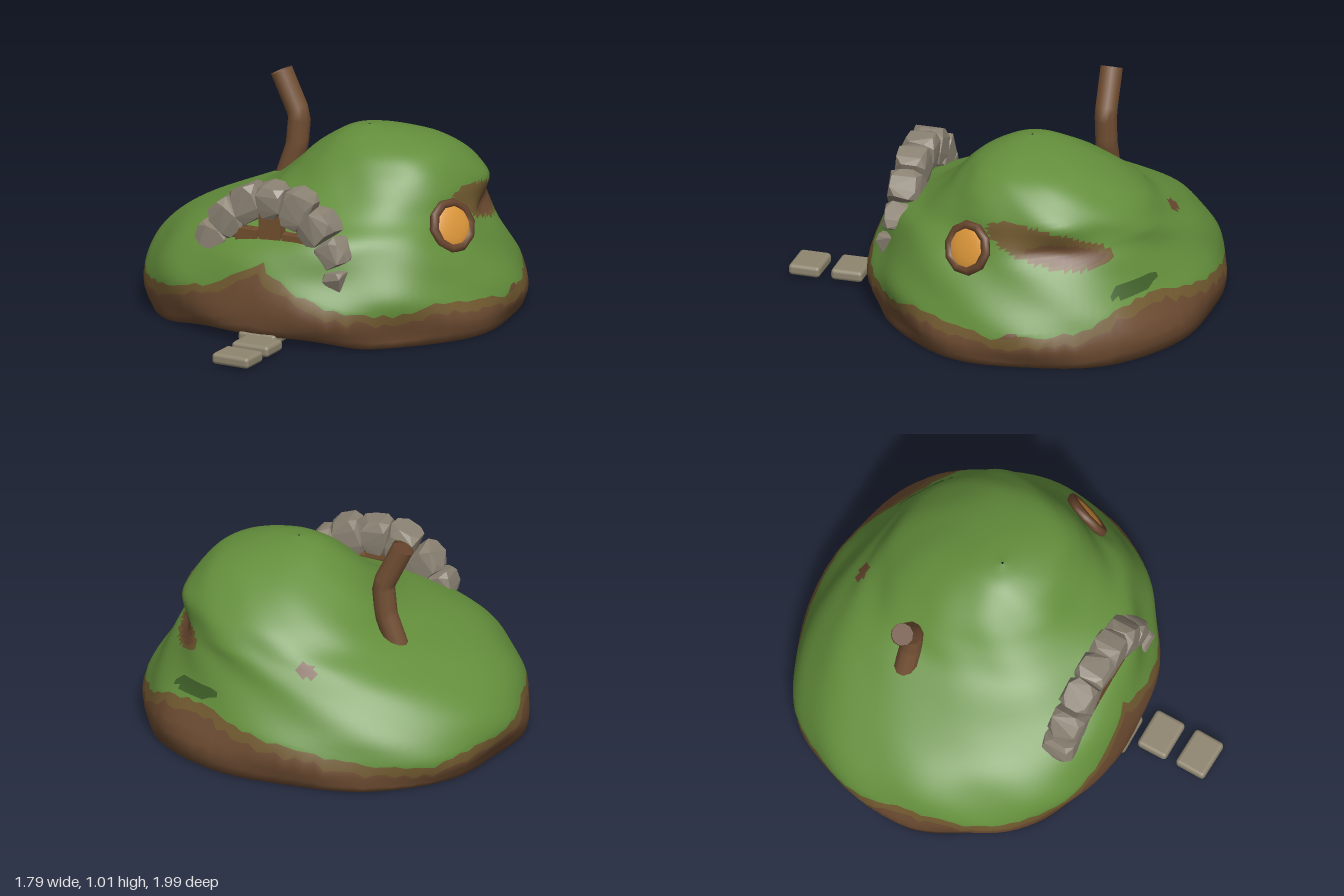
import * as THREE from 'three';
import { ConvexGeometry } from 'three/addons/geometries/ConvexGeometry.js';
import { RoundedBoxGeometry } from 'three/addons/geometries/RoundedBoxGeometry.js';

const mat = (name, color, extra = {}) => {
  const m = new THREE.MeshStandardMaterial({ color, ...extra });
  m.name = name;
  return m;
};

function seeded(seed) {
  return () => {
    seed = (seed * 16807) % 2147483647;
    return seed / 2147483647;
  };
}

// Horizontal sections of the mound: y, xMin, xMax, zMin, zMax
const SECTIONS = [
  [0, -0.87, 0.86, -0.975, 0.59],
  [0.1, -0.9, 0.89, -0.995, 0.615],
  [0.2, -0.875, 0.86, -0.965, 0.615],
  [0.3, -0.8, 0.81, -0.91, 0.585],
  [0.4, -0.67, 0.76, -0.855, 0.535],
  [0.48, -0.49, 0.72, -0.81, 0.455],
  [0.55, -0.31, 0.69, -0.77, 0.32],
  [0.64, -0.2, 0.675, -0.705, 0.205],
  [0.73, -0.1, 0.625, -0.59, 0.12],
  [0.8, 0, 0.54, -0.46, 0.04],
  [0.85, 0.09, 0.37, -0.31, -0.07],
  [0.87, 0.19, 0.2, -0.18, -0.17],
];
// Height of the grass edge every 15 degrees, from +x towards +z
const GRASS_EDGE = [0.15, 0.18, 0.2, 0.16, 0.17, 0.25, 0.37, 0.25, 0.2, 0.16, 0.16, 0.2,
  0.2, 0.15, 0.15, 0.11, 0.12, 0.16, 0.19, 0.23, 0.27, 0.26, 0.18, 0.16];
// Bulges and hollows: angle, angular width, section, section width, amount
const LUMPS = [
  [-0.45, 0.28, 6.9, 0.6, 0.04], [-0.4, 0.28, 5.3, 0.65, -0.045], // brow and crease, back right
  [0.25, 0.22, 5.1, 1.2, -0.05], // seat of the window
  [0.98, 0.25, 3.3, 1.2, -0.055], // below the arch foot
  [0.8, 0.35, 0.5, 1.3, -0.04], // drawn in base, front right
  [2.65, 0.3, 1.2, 2.5, -0.04], // flatter front left
  [-2.8, 0.3, 0, 0.8, -0.035], // drawn in base, back left
  [-0.75, 0.3, 1.2, 2, 0.03], // fuller back right
  [-2.4, 0.4, 3, 1.3, 0.03], // fuller back left
];

function moundGeometry() {
  const N = 120, GRASS_ROWS = 42, TOP = SECTIONS.length - 1;
  const sections = new THREE.CubicInterpolant(SECTIONS.map((_, i) => i), SECTIONS.flat(), 5);
  const rand = seeded(11);

  // Point on the mound at angle a and section number s
  const surface = (a, s) => {
    const [y, x0, x1, z0, z1] = sections.evaluate(s);
    const c = Math.cos(a), n = Math.sin(a);
    const round = Math.pow(Math.abs(c) ** 2.12 + Math.abs(n) ** 2.12, -1 / 2.12);
    const fade = Math.min(1, (TOP - s) / 3);
    let k = round * (1 + fade * 0.007 * (Math.sin(5 * a + s * 1.3) + Math.sin(9 * a - s * 2.1)));
    for (const [la, lw, ls, lh, amount] of LUMPS) {
      const da = Math.atan2(Math.sin(a - la), Math.cos(a - la));
      k += amount * Math.exp(-((da / lw) ** 2) - ((s - ls) / lh) ** 2);
    }
    const lift = 0.045 * Math.max(0, 1 - s) * THREE.MathUtils.smoothstep(n, 0.8, 1);
    return [(x0 + x1) / 2 + c * k * (x1 - x0) / 2, y + lift, (z0 + z1) / 2 + n * k * (z1 - z0) / 2];
  };

  // One column per angle: underside, soil, worn edge, grass
  const positions = [];
  let rows = 0;
  for (let i = 0; i < N; i++) {
    const a = (i / N) * Math.PI * 2, f = (i / N) * 24, g = Math.floor(f);
    const h = THREE.MathUtils.lerp(GRASS_EDGE[g], GRASS_EDGE[(g + 1) % 24], f - g);
    const ragged = h + (rand() - 0.5) * 0.02, soil = (ragged - 0.03 - rand() * 0.03) * 10;
    const rim = surface(a, 0);
    const column = [[0, 0.04, -0.19], [rim[0] * 0.5, 0.035, (rim[2] + 0.19) * 0.5 - 0.19],
      [rim[0] * 0.9, 0.012 + rim[1] * 0.8, (rim[2] + 0.19) * 0.9 - 0.19]];
    for (let j = 0; j <= 4; j++) column.push(surface(a, (soil * j) / 4));
    for (let j = 0; j <= GRASS_ROWS; j++) {
      const edge = (j ? h : ragged) * 10;
      column.push(surface(a, edge + ((TOP - edge) * j) / GRASS_ROWS));
    }
    rows = column.length;
    positions.push(...column.flat());
  }

  // Patches on the right side: centre z, y, half sizes, slope, material
  const patches = [[-0.46, 0.49, 0.17, 0.045, 0.08, 0], [-0.38, 0.53, 0.28, 0.085, 0.22, 1],
    [-0.75, 0.315, 0.075, 0.035, -0.1, 3], [-0.28, 0.135, 0.065, 0.035, 0, 0]];
  const lists = [[], [], [], []];
  const material = (j, x, y, z) => {
    if (j < 7) return 0;
    if (j === 7) return 1;
    if (Math.hypot((x + 0.04) / 0.045, (z + 0.775) / 0.022) < 1 && y > 0.4) return 0;
    const hit = x > 0.35 && patches.find(([pz, py, rz, ry, slope]) =>
      Math.hypot((z - pz) / rz, (y - py - slope * (z - pz)) / ry) < 1);
    return hit ? hit[5] : 2;
  };
  // Each triangle takes the colour at its own middle
  const addTriangle = (j, ...corners) => {
    const mid = [0, 1, 2].map((k) => corners.reduce((sum, c) => sum + positions[c * 3 + k] / 3, 0));
    lists[material(j, ...mid)].push(...corners);
  };
  for (let i = 0; i < N; i++) {
    for (let j = 0; j < rows - 1; j++) {
      const a = i * rows + j, c = ((i + 1) % N) * rows + j;
      addTriangle(j, a, a + 1, c);
      addTriangle(j, c, a + 1, c + 1);
    }
  }
  const geometry = new THREE.BufferGeometry();
  geometry.setAttribute('position', new THREE.Float32BufferAttribute(positions, 3));
  geometry.setIndex(lists.flat());
  let start = 0;
  lists.forEach((list, m) => {
    geometry.addGroup(start, list.length, m);
    start += list.length;
  });
  geometry.computeVertexNormals();
  return geometry;
}

// Chipped block: a cube with cut corners, slightly irregular
function rockGeometry(seed, w, h, d, taper = 1) {
  const rand = seeded(seed * 7919 + 3), points = [];
  const jitter = () => 0.9 + rand() * 0.2;
  for (let axis = 0; axis < 3; axis++) {
    for (let corner = 0; corner < 8; corner++) {
      const p = [corner & 1 ? 0.85 : -0.85, corner & 2 ? 0.85 : -0.85, corner & 4 ? 0.85 : -0.85];
      p[axis] *= 0.45 + rand() * 0.2;
      p[(axis + 1) % 3] *= 1.2;
      const t = p[1] < 0 ? taper : 1;
      points.push(new THREE.Vector3(p[0] * w * t * jitter(), p[1] * h * jitter(), p[2] * d * t * jitter()));
    }
  }
  return new ConvexGeometry(points);
}

export function createModel() {
  const model = new THREE.Group();
  model.name = 'hillHouse';
  const soil = mat('soil', 0x6c4b31);
  const worn = mat('wornGrass', 0x70592f);
  const grass = mat('grass', 0x648f3c);
  const darkGrass = mat('darkGrass', 0x3f6029);
  const stone = mat('stone', 0x8b8273);
  const slab = mat('steppingStone', 0x8f8670);
  const wood = mat('wood', 0x73502f);
  const frameWood = mat('frameWood', 0x65432b);
  const bark = mat('chimneyBrown', 0x735034, { side: THREE.DoubleSide });
  const glass = mat('amberGlass', 0xdb963a);

  const add = (name, geometry, material, pos = [0, 0, 0], parent = model) => {
    const mesh = new THREE.Mesh(geometry, material);
    mesh.name = name;
    mesh.position.set(...pos);
    parent.add(mesh);
    return mesh;
  };

  add('mound', moundGeometry(), [soil, worn, grass, darkGrass]);

  // Stone arch: x, y, half width, half height, turn
  const arch = new THREE.Group();
  arch.name = 'stoneArch';
  model.add(arch);
  [[-0.29, 0.43, 0.058, 0.07, 1.25], [-0.215, 0.53, 0.066, 0.078, 0.85], [-0.11, 0.615, 0.07, 0.082, 0.4],
    [0.013, 0.635, 0.065, 0.076, 0], [0.14, 0.61, 0.07, 0.082, -0.35], [0.245, 0.54, 0.07, 0.08, -0.8],
    [0.325, 0.43, 0.06, 0.074, -1.0]].forEach(([x, y, w, h, turn], i) => {
    add('archStone', rockGeometry(i + 1, w, h, 0.073), stone, [x, y, 0.41], arch).rotation.z = turn;
  });
  add('archFootStone', rockGeometry(9, 0.053, 0.055, 0.045, 0.3), stone, [0.365, 0.305, 0.462], arch).rotation.z = 0.25;

  // Wooden door planks, mostly sunk in the mound
  const door = new THREE.Group();
  door.name = 'door';
  model.add(door);
  for (const x of [-0.1, 0.02, 0.14]) {
    add('doorPlank', new THREE.BoxGeometry(0.113, x === 0.02 ? 0.34 : 0.24, 0.05),
      wood, [x, x === 0.02 ? 0.43 : 0.38, 0.445], door);
  }
  add('doorCrossbar', new THREE.BoxGeometry(0.4, 0.06, 0.04), frameWood, [0, 0.47, 0.435], door);

  // Chimney pipe with a sharp elbow
  const path = new THREE.CurvePath();
  const bends = [[-0.36, 0.45], [-0.292, 0.64], [-0.278, 0.79], [-0.373, 0.99]]
    .map(([x, y]) => new THREE.Vector3(x, y, -0.38));
  for (let i = 0; i < 3; i++) path.add(new THREE.LineCurve3(bends[i], bends[i + 1]));
  add('chimney', new THREE.TubeGeometry(path, 12, 0.053, 10), bark);
  const cap = add('chimneyEnd', new THREE.CircleGeometry(0.052, 10), frameWood, [-0.367, 0.978, -0.38]);
  cap.lookAt(-0.462, 1.178, -0.38);

  // Round window set into the side, facing out and a little up, with a domed pane
  const roundWindow = new THREE.Group();
  roundWindow.name = 'roundWindow';
  roundWindow.position.set(0.705, 0.5, -0.02);
  roundWindow.lookAt(0.705 + 0.88, 0.5 + 0.33, -0.02 + 0.36);
  model.add(roundWindow);
  add('windowFrame', new THREE.TorusGeometry(0.106, 0.022, 8, 10), frameWood, [0, 0, 0], roundWindow);
  const pane = add('windowPane', new THREE.SphereGeometry(0.102, 24, 16), glass, [0, 0, 0], roundWindow);
  pane.scale.z = 0.25;

  // Stepping stones leading to the mound
  [[0.095, 0.036, 0.917], [0.09, 0.036, 0.718], [0.025, 0.03, 0.535]].forEach((pos, i) => {
    add('steppingStone', new RoundedBoxGeometry(0.192, 0.053, 0.15, 2, 0.018), slab, pos).rotation.y = (i - 1) * 0.02;
  });

  return model;
}
